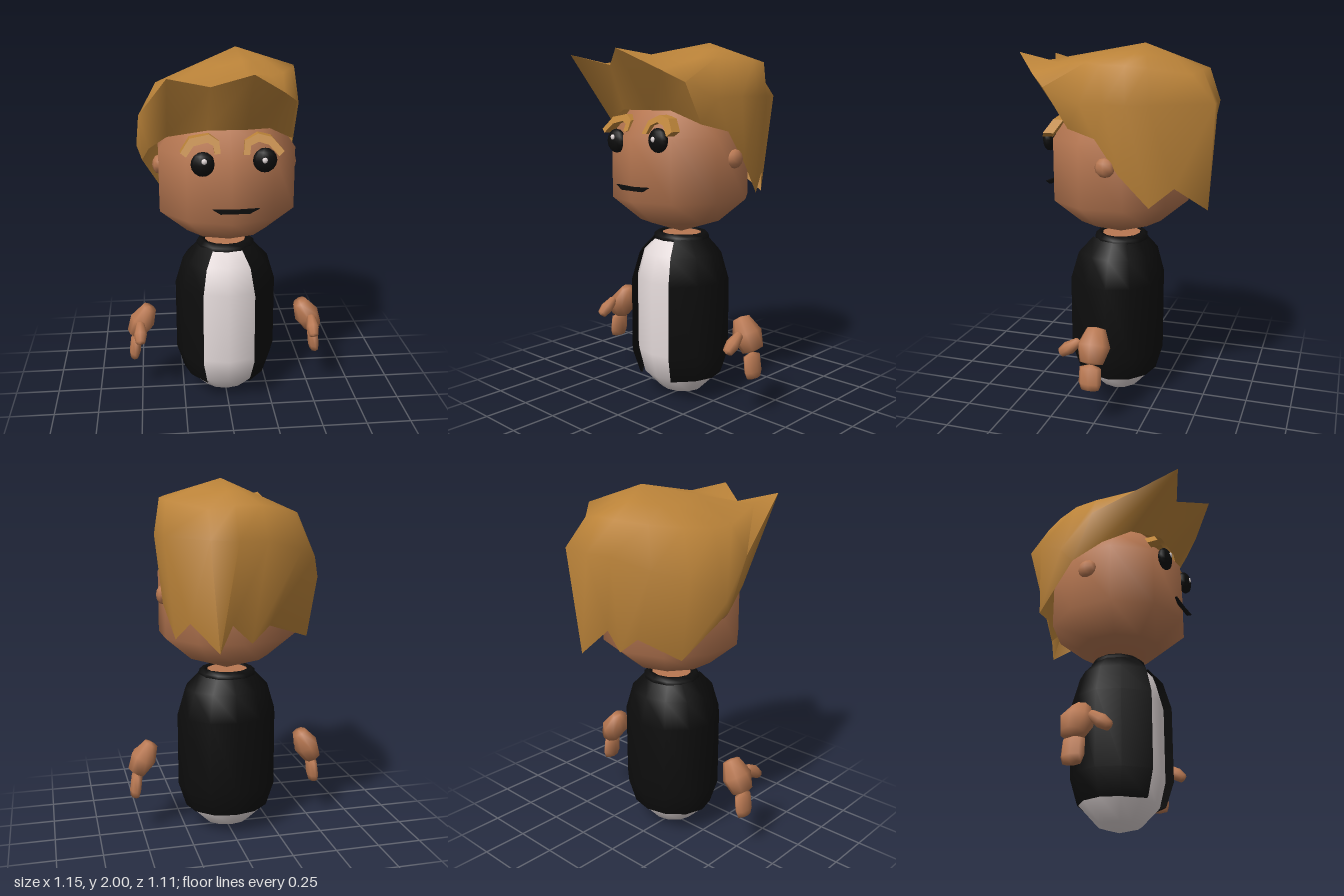
import * as THREE from 'three';
import { toCreasedNormals } from 'three/addons/utils/BufferGeometryUtils.js';

const paint = (color) => new THREE.MeshStandardMaterial({ color, side: THREE.DoubleSide });
const skin = paint(0xb87852), hairGold = paint(0xbb8339), black = paint(0x0d0d0d), white = paint(0xe6dcdc);
const D = Math.PI / 180;

function add(group, name, geometry, material, pos = [0, 0, 0], rot = [0, 0, 0], scale = [1, 1, 1]) {
  const mesh = new THREE.Mesh(geometry, material);
  mesh.name = name;
  mesh.position.set(...pos);
  mesh.rotation.set(...rot);
  mesh.scale.set(...scale);
  group.add(mesh);
}

// Turned shape from [radius, height] pairs, bottom to top
const turned = (profile, sides, start = 0, length = Math.PI * 2) =>
  new THREE.LatheGeometry(profile.map(([r, y]) => new THREE.Vector2(r, y)), sides, start, length);

// Flat plate from an outline
const plate = (points, depth) => new THREE.ExtrudeGeometry(
  new THREE.Shape(points.map(([x, y]) => new THREE.Vector2(x, y))), { depth, bevelEnabled: false });

// Brow plate leaning back along the forehead
function browGeometry(points) {
  const geo = plate(points, 0.06), p = geo.attributes.position;
  for (let i = 0; i < p.count; i++) p.setZ(i, p.getZ(i) + 0.3 - (p.getY(i) - 1.52) * 0.55);
  geo.computeVertexNormals();
  return geo;
}

// Hair shell: matching rings from hem to crown, closed by one crown point
function hairGeometry() {
  const hem = [
    [0.08, 1.64, 0.32], [0.2, 1.64, 0.29], [0.32, 1.57, 0.19], [0.365, 1.53, 0.03],
    [0.375, 1.35, -0.1], [0.335, 1.18, -0.25], [0.28, 1.28, -0.37], [0.16, 1.15, -0.525],
    [0.07, 1.27, -0.42], [-0.03, 1.175, -0.43], [-0.13, 1.26, -0.4], [-0.36, 1.18, -0.32],
    [-0.455, 1.4, -0.07], [-0.415, 1.5, 0.09], [-0.32, 1.59, 0.22], [-0.12, 1.64, 0.32]];
  const wide = [
    [0.085, 1.945, 0.555], [0.25, 1.84, 0.41], [0.33, 1.78, 0.32], [0.365, 1.7, 0.11],
    [0.405, 1.71, -0.03], [0.42, 1.71, -0.145], [0.39, 1.71, -0.26], [0.215, 1.71, -0.557],
    [0.07, 1.7, -0.545], [-0.08, 1.7, -0.53], [-0.28, 1.65, -0.45], [-0.4, 1.6, -0.31],
    [-0.485, 1.47, -0.13], [-0.465, 1.67, 0.05], [-0.32, 1.925, 0.51], [-0.11, 1.87, 0.42]];
  const upper = [
    [0.08, 1.905, 0.38], [0.2, 1.9, 0.28], [0.28, 1.9, 0.18], [0.33, 1.91, 0.08],
    [0.37, 1.9, 0], [0.39, 1.9, -0.14], [0.375, 1.89, -0.25], [0.2, 1.85, -0.43],
    [0.07, 1.87, -0.46], [-0.06, 1.87, -0.475], [-0.2, 1.85, -0.38], [-0.3, 1.83, -0.24],
    [-0.37, 1.82, -0.1], [-0.38, 1.82, 0.03], [-0.29, 1.88, 0.33], [-0.1, 1.86, 0.34]];
  const crown = [0.07, 2, -0.155];
  // Extra ring halfway between the upper ring and the crown
  const dome = upper.map((p) => p.map((v, k) => (v + crown[k]) / 2));
  const rings = [hem, wide, upper, dome], n = hem.length, index = [];
  for (let i = 0; i < n; i++) {
    const j = (i + 1) % n;
    for (let r = 0; r < 3; r++) {
      const a = r * n + i, b = r * n + j;
      index.push(a, b, b + n, a, b + n, a + n);
    }
    index.push(3 * n + i, 3 * n + j, 4 * n);
  }
  const geo = new THREE.BufferGeometry();
  geo.setAttribute('position', new THREE.Float32BufferAttribute([...rings.flat(), crown].flat(), 3));
  geo.setIndex(index);
  return toCreasedNormals(geo, 75 * D);
}

function buildHead() {
  const head = new THREE.Group();
  head.name = 'head';
  add(head, 'skull', turned([[0, 0.955], [0.23, 1.03], [0.385, 1.16], [0.385, 1.5], [0.27, 1.66], [0.18, 1.76], [0, 1.8]], 10), skin);
  add(head, 'hair', hairGeometry(), hairGold);

  const ball = new THREE.SphereGeometry(1, 8, 6);
  for (const s of [-1, 1]) {
    add(head, 'ear', ball, skin, [s * 0.365, 1.385, -0.025], [0, 0, 0], [0.035, 0.052, 0.055]);
  }
  // Eyes with small highlights
  for (const [x, y, shine] of [[-0.145, 1.475, -0.14], [0.17, 1.49, 0.165]]) {
    add(head, 'eye', new THREE.SphereGeometry(1, 10, 8), black, [x, y, 0.35], [0, 0, 0], [0.062, 0.064, 0.037]);
    add(head, 'eyeHighlight', ball, white, [shine, 1.496, 0.383], [0, 0, 0], [0.015, 0.015, 0.008]);
  }
  // Arched brows
  const brows = [
    [[0.06, 1.52], [0.07, 1.587], [0.14, 1.617], [0.21, 1.6], [0.268, 1.535], [0.24, 1.512], [0.19, 1.565], [0.14, 1.58], [0.1, 1.563], [0.092, 1.52]],
    [[-0.055, 1.53], [-0.06, 1.585], [-0.11, 1.617], [-0.21, 1.6], [-0.258, 1.535], [-0.23, 1.515], [-0.19, 1.565], [-0.12, 1.58], [-0.09, 1.565], [-0.086, 1.525]]];
  for (const outline of brows) add(head, 'eyebrow', browGeometry(outline), hairGold);
  add(head, 'mouth', plate([[-0.1, 1.248], [-0.06, 1.222], [0.09, 1.222], [0.14, 1.248], [0.02, 1.243]], 0.014), black, [0, 0, 0.383]);
  return head;
}

function buildBody() {
  const body = new THREE.Group();
  body.name = 'body';
  const oval = [1, 1, 0.88];
  add(body, 'shirt', turned([[0, 0.005], [0.13, 0.04], [0.235, 0.14], [0.272, 0.28], [0.272, 0.69], [0.228, 0.84], [0.14, 0.925], [0, 0.925]], 12), white, [0, 0, 0], [0, 0, 0], oval);
  add(body, 'neck', new THREE.CylinderGeometry(0.115, 0.115, 0.05, 12), skin, [0, 0.925, -0.01]);

  // Jacket wraps all but the front; its front edges are pulled forward
  const profile = [[0.23, 0.14], [0.242, 0.14], [0.287, 0.28], [0.287, 0.695], [0.242, 0.845], [0.16, 0.93]];
  const jacket = turned(profile, 10, 30 * D, 300 * D);
  const p = jacket.attributes.position, n = profile.length;
  for (let i = 0; i < p.count; i++) {
    if (i < n || i >= p.count - n) p.setZ(i, p.getZ(i) / Math.cos(30 * D));
  }
  jacket.computeVertexNormals();
  add(body, 'jacket', jacket, black, [0, 0, 0], [0, 0, 0], oval);
  add(body, 'collar', turned([[0.164, 0.918], [0.164, 0.938], [0.143, 0.957], [0.118, 0.952], [0.118, 0.92]], 12), black, [0, 0, -0.003], [0, 0, 0], [1, 1, 0.92]);
  return body;
}

function buildHand(s) {
  const hand = new THREE.Group();
  hand.name = s > 0 ? 'leftHand' : 'rightHand';
  add(hand, 'palm', turned([[0, -0.1], [0.065, -0.09], [0.092, 0], [0.052, 0.092], [0, 0.1]], 8), skin,
    [s * 0.486, 0.453, 0], [0, 0, s * 28 * D], [0.8, 1, 1]);
  add(hand, 'fingers', turned([[0, -0.072], [0.05, -0.065], [0.063, -0.03], [0.06, 0.055], [0, 0.075]], 8), skin,
    [s * 0.532, 0.291, 0.007], [0, 0, s * 7 * D], [0.52, 1, 1]);
  add(hand, 'thumb', turned([[0, -0.075], [0.024, -0.06], [0.037, 0.01], [0.027, 0.06], [0, 0.07]], 8), skin,
    [s * 0.498, 0.435, 0.13], [127 * D, 0, 0]);
  return hand;
}

export function createModel() {
  const model = new THREE.Group();
  model.name = 'figure';
  model.add(buildHead(), buildBody(), buildHand(1), buildHand(-1));
  return model;
}
